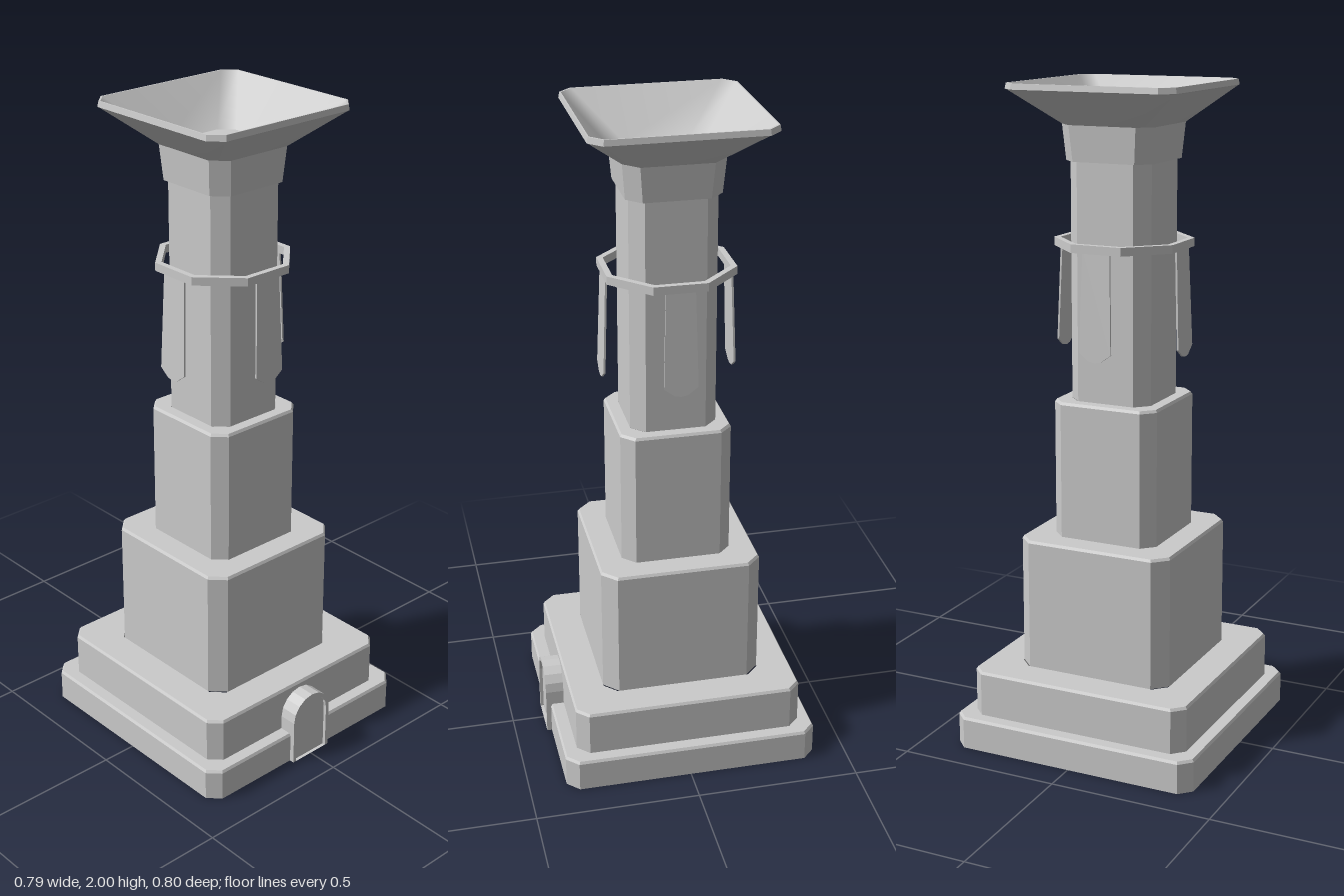
import * as THREE from 'three';

const makeMaterial = (flat) => new THREE.MeshStandardMaterial({
  color: 0xcccccc, flatShading: flat, side: THREE.DoubleSide,
});

// Corners of a square of half-width w with its corners cut by c
function chamferedSquare(w, c) {
  const k = w - c;
  return [[w, -k], [w, k], [k, w], [-k, w], [-w, k], [-w, -k], [-k, -w], [k, -w]];
}

// Skin through chamfered squares given as [halfWidth, chamfer, y]
function loft(name, rings, flat = true) {
  const pos = [], index = [];
  rings.forEach(([w, c, y], i) => {
    chamferedSquare(w, c).forEach(([x, z], j) => {
      pos.push(x, y, z);
      if (i === 0) return;
      const a = (i - 1) * 8 + j, b = (i - 1) * 8 + (j + 1) % 8;
      index.push(a, a + 8, b, b, a + 8, b + 8);
    });
  });
  const geo = new THREE.BufferGeometry();
  geo.setAttribute('position', new THREE.Float32BufferAttribute(pos, 3));
  geo.setIndex(index);
  geo.computeVertexNormals();
  const mesh = new THREE.Mesh(geo, makeMaterial(flat));
  mesh.name = name;
  return mesh;
}

function extrude(name, shape, depth, curveSegments = 4) {
  const geo = new THREE.ExtrudeGeometry(shape, { depth, bevelEnabled: false, curveSegments });
  const mesh = new THREE.Mesh(geo, makeMaterial(true));
  mesh.name = name;
  return mesh;
}

// Round-headed doorway outline
function arch(Type, r, spring) {
  const s = new Type();
  s.moveTo(-r, 0);
  s.lineTo(r, 0);
  s.lineTo(r, spring);
  s.absarc(0, spring, r, 0, Math.PI, false);
  s.lineTo(-r, 0);
  return s;
}

export function createModel() {
  const model = new THREE.Group();
  model.name = 'tower';
  const tower = new THREE.Group();
  tower.name = 'towerBody';
  tower.position.z = -0.008;
  model.add(tower);

  // Stepped body: [name, half-width, chamfer, bottom, top, width of the next tier]
  const tiers = [
    ['base', 0.393, 0.036, 0, 0.1, 0.352],
    ['plinth', 0.352, 0.036, 0.1, 0.24, 0.246],
    ['lowerTier', 0.246, 0.043, 0.24, 0.645, 0.168],
    ['middleTier', 0.168, 0.038, 0.645, 1.065, 0.13],
  ];
  for (const [name, w, c, y0, y1, next] of tiers) {
    tower.add(loft(name, [
      [w, c, y0], [w, c, y1 - 0.008], [w - 0.005, c - 0.002, y1], [next, 0.038, y1],
    ]));
  }
  tower.add(loft('shaft', [[0.13, 0.04, 1.065], [0.13, 0.04, 1.78]]));
  tower.add(loft('collar', [[0.13, 0.04, 1.775], [0.14, 0.042, 1.775], [0.149, 0.043, 1.88]]));

  // Flared bowl on top
  tower.add(loft('bowlOutside', [[0.149, 0.043, 1.88], [0.262, 0.038, 1.98]], false));
  tower.add(loft('bowlRim', [
    [0.262, 0.038, 1.98], [0.267, 0.038, 1.983], [0.264, 0.037, 2], [0.26, 0.037, 2],
  ]));
  tower.add(loft('bowlInside', [[0.26, 0.037, 2], [0.134, 0.038, 1.87]], false));
  tower.add(loft('bowlFloor', [[0.134, 0.038, 1.87], [0.0001, 0, 1.87]]));

  // Octagonal ring that carries the banners
  const side = (r) => r * (1 - Math.tan(Math.PI / 8));
  const ring = [[0.192, 1.52], [0.192, 1.545], [0.174, 1.545], [0.174, 1.52], [0.192, 1.52]];
  tower.add(loft('bannerRing', ring.map(([r, y]) => [r, side(r), y])));

  // Four banners leaning slightly outward
  const cloth = new THREE.Shape([
    [-0.043, 0], [-0.051, -0.305], [-0.02, -0.328], [0, -0.332],
    [0.02, -0.328], [0.051, -0.305], [0.043, 0],
  ].map(([x, y]) => new THREE.Vector2(x, y)));
  for (let i = 0; i < 4; i++) {
    const holder = new THREE.Group();
    holder.name = 'bannerHolder';
    holder.rotation.y = i * Math.PI / 2;
    const banner = extrude('banner', cloth, 0.006);
    banner.position.set(0, 1.535, 0.183);
    banner.rotation.x = -0.036;
    holder.add(banner);
    tower.add(holder);
  }

  // Doorway at the front
  const frameShape = arch(THREE.Shape, 0.075, 0.145);
  frameShape.holes.push(arch(THREE.Path, 0.063, 0.145));
  const frame = extrude('doorFrame', frameShape, 0.07);
  frame.position.z = 0.33;
  const panel = new THREE.Mesh(
    new THREE.ShapeGeometry(arch(THREE.Shape, 0.063, 0.145), 4), makeMaterial(true));
  panel.name = 'doorPanel';
  panel.position.z = 0.39;
  model.add(frame, panel);
  return model;
}
